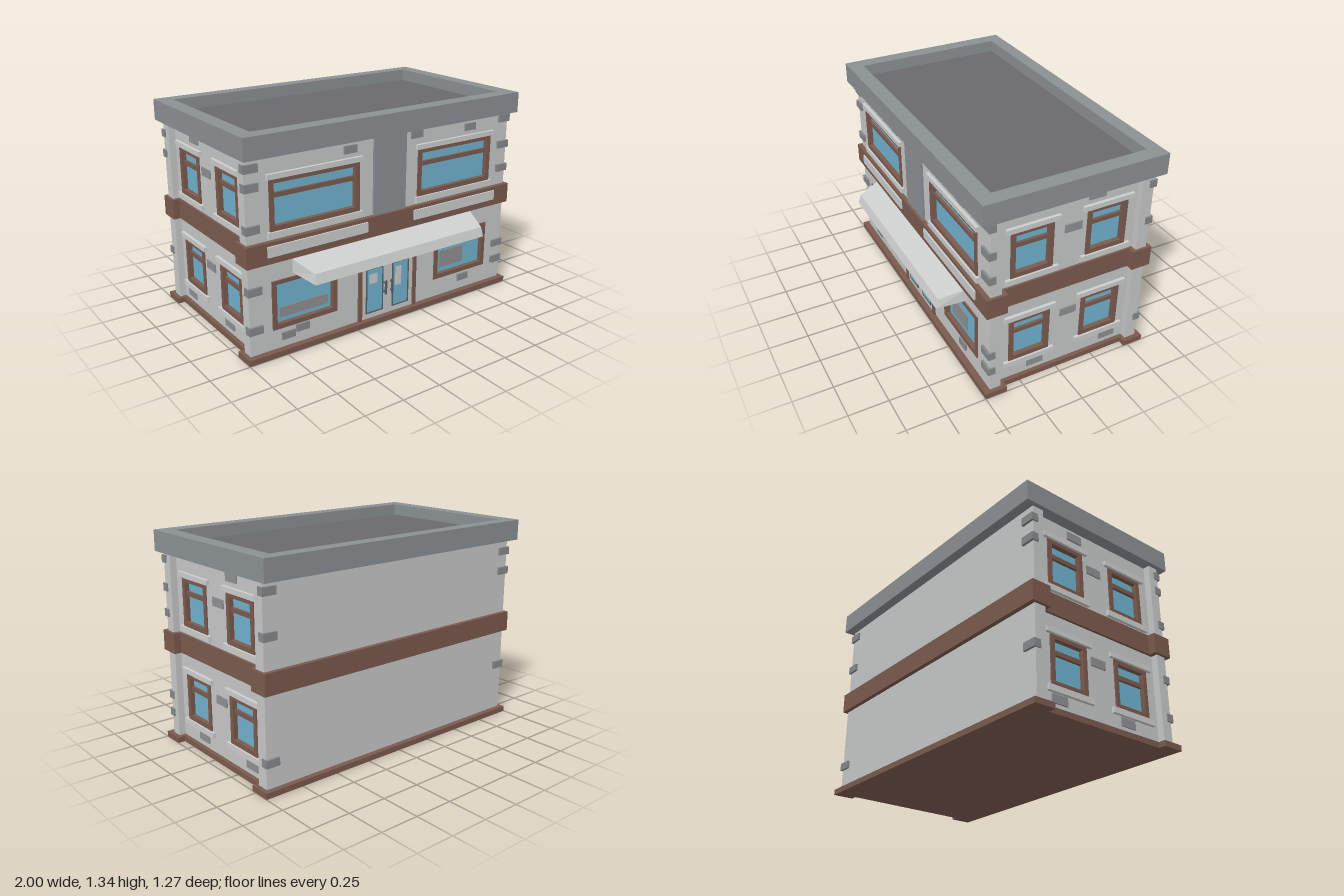
import * as THREE from 'three';

const mat = (name, color) => {
  const m = new THREE.MeshStandardMaterial({ color });
  m.name = name;
  return m;
};

export function createModel() {
  const wall = mat('plaster', 0xc6c8c7);
  const trim = mat('pale stone', 0xcccecd);
  const brown = mat('brown wood', 0x7b5a4e);
  const glass = mat('glass', 0x70b2ce);
  const slate = mat('parapet grey', 0x8b9093);
  const brick = mat('brick grey', 0x86898b);
  const paper = mat('poster grey', 0x8f9092);
  const roofMat = mat('roof grey', 0x6a696b);
  const metal = mat('dark metal', 0x5c5f62);

  const root = new THREE.Group();

  // Box given by its limits on each axis
  function box(name, m, x0, x1, y0, y1, z0, z1, parent = root) {
    const mesh = new THREE.Mesh(new THREE.BoxGeometry(x1 - x0, y1 - y0, z1 - z0), m);
    mesh.position.set((x0 + x1) / 2, (y0 + y1) / 2, (z0 + z1) / 2);
    mesh.name = name;
    parent.add(mesh);
    return mesh;
  }

  // Flat panel in the XY plane with rectangular holes, from z0 to z1
  const corners = ([x0, x1, y0, y1]) =>
    [[x0, y0], [x1, y0], [x1, y1], [x0, y1]].map(p => new THREE.Vector2(...p));
  function panel(name, m, outer, holes, z0, z1, parent = root) {
    const shape = new THREE.Shape(corners(outer));
    holes.forEach(h => shape.holes.push(new THREE.Path(corners(h).reverse())));
    const geo = new THREE.ExtrudeGeometry(shape, { depth: z1 - z0, bevelEnabled: false });
    const mesh = new THREE.Mesh(geo, m);
    mesh.position.z = z0;
    mesh.name = name;
    parent.add(mesh);
    return mesh;
  }

  // Horizontal course that steps inwards along both sides of the building
  function course(name, m, y0, y1, xOut, xIn, front, back) {
    const half = [[xOut, front], [xOut, 0.36], [xIn, 0.36], [xIn, -0.47], [xOut, -0.47], [xOut, back]];
    const pts = [...half, ...half.map(([x, z]) => [-x, z]).reverse()];
    const shape = new THREE.Shape(pts.map(([x, z]) => new THREE.Vector2(x, -z)));
    const geo = new THREE.ExtrudeGeometry(shape, { depth: y1 - y0, bevelEnabled: false });
    geo.rotateX(-Math.PI / 2);
    const mesh = new THREE.Mesh(geo, m);
    mesh.position.y = y0;
    mesh.name = name;
    root.add(mesh);
  }

  // Framed window, recessed glass, optional crossbar with lintel and sill
  function windowUnit(parent, [x0, x1, y0, y1], full) {
    const g = new THREE.Group();
    g.name = 'window';
    parent.add(g);
    const t = 0.03;
    panel('windowFrame', brown, [x0, x1, y0, y1],
      [[x0 + t, x1 - t, y0 + t, y1 - t * 0.8]], -0.035, 0.008, g);
    box('windowGlass', glass, x0 + 0.01, x1 - 0.01, y0 + 0.01, y1 - 0.01, -0.03, -0.022, g);
    if (full) {
      box('windowBar', brown, x0 + t, x1 - t, y1 - 0.11, y1 - 0.083, -0.025, -0.005, g);
      const e = full;
      box('lintel', trim, x0 - e, x1 + e, y1 + 0.003, y1 + 0.034, -0.01, 0.02, g);
      box('sill', trim, x0 - e, x1 + e, y0 - 0.036, y0, -0.01, 0.02, g);
    }
  }
  const inset = ([x0, x1, y0, y1]) => [x0 + 0.01, x1 - 0.01, y0 + 0.01, y1 - 0.01];

  // Body, back wall and corner piers
  box('innerWalls', wall, -0.89, 0.89, 0.02, 1.22, -0.5, 0.42);
  box('backWall', wall, -0.973, 0.973, 0.02, 1.22, -0.57, -0.495);

  // Front wall and its windows
  const upper = [[-0.825, -0.22, 0.765, 1.065], [0.22, 0.825, 0.765, 1.065]];
  const lower = [[-0.825, -0.38, 0.16, 0.465], [0.38, 0.825, 0.16, 0.465]];
  panel('frontWall', wall, [-0.973, 0.973, 0.02, 1.22], [...upper, ...lower].map(inset), 0.39, 0.46);
  const front = new THREE.Group();
  front.name = 'frontDetails';
  front.position.z = 0.46;
  root.add(front);
  upper.forEach(r => windowUnit(front, r, 0.017));
  lower.forEach(r => windowUnit(front, r, 0));
  box('poster', paper, -0.765, -0.43, 0.215, 0.28, -0.023, -0.018, front);
  box('poster', paper, 0.445, 0.65, 0.22, 0.335, -0.023, -0.018, front);
  box('centralPier', slate, -0.12, 0.12, 0.7, 1.21, -0.01, 0.015, front);
  for (const [x, y] of [[-0.285, 1.15], [0.205, 1.165], [0.64, 1.15], [-0.723, 0.107], [-0.625, 0.13], [0.637, 0.12]])
    box('brick', brick, x - 0.044, x + 0.044, y - 0.023, y + 0.023, -0.01, 0.012, front);

  // Side walls, windows and bricks
  for (const s of [1, -1]) {
    const side = new THREE.Group();
    side.name = s > 0 ? 'leftSide' : 'rightSide';
    side.rotation.y = s * Math.PI / 2;
    side.position.x = s * 0.93;
    root.add(side);
    const span = (z0, z1) => [-s * z0, -s * z1].sort((a, b) => a - b);
    const rects = [];
    for (const z of [0.185, -0.298])
      for (const y of [0.165, 0.768])
        rects.push([...span(z - 0.134, z + 0.134), y, y + 0.3]);
    panel('sideWall', wall, [...span(-0.5, 0.395), 0.02, 1.22], rects.map(inset), -0.045, 0, side);
    rects.forEach(r => windowUnit(side, r, 0.033));
    for (const [z, y] of [[-0.22, 1.157], [-0.075, 0.987], [-0.075, 0.396], [0.14, 0.096], [-0.375, 0.096]])
      box('brick', paper, ...span(z - 0.055, z + 0.055), y - 0.026, y + 0.026, -0.01, 0.008, side);
  }

  // Corner stones wrapping each pier
  const stones = [
    [1, 1, [1.165, 0.99, 0.83, 0.295, 0.178]],
    [-1, 1, [1.148, 1.04, 0.8, 0.435, 0.195]],
    [1, -1, [1.15, 0.905, 0.19]],
    [-1, -1, [1.13, 1.0, 0.35]],
  ];
  for (const [sx, sz, ys] of stones)
    for (const y of ys) {
      const z = sz > 0 ? 0.452 : -0.562;
      const x = sx * 0.936;
      box('cornerStone', brick, x - 0.045, x + 0.045, y - 0.024, y + 0.024, z - 0.023, z + 0.023);
    }

  // Plinth and belt course with sign boards
  course('plinth', brown, 0, 0.035, 1, 0.955, 0.5, -0.605);
  course('beltCourse', brown, 0.587, 0.715, 0.99, 0.945, 0.49, -0.598);
  box('signBoard', trim, -0.86, -0.18, 0.63, 0.693, 0.48, 0.5);
  box('signBoard', trim, 0.175, 0.855, 0.63, 0.693, 0.48, 0.5);

  // Parapet ring and sunken roof
  const parapet = panel('parapet', slate, [-1, 1, -0.52, 0.632], [[-0.905, 0.905, -0.425, 0.545]], 0, 0.13);
  parapet.rotation.x = -Math.PI / 2;
  parapet.position.y = 1.205;
  box('roof', roofMat, -0.92, 0.92, 1.206, 1.26, -0.56, 0.44);

  // Double door with glazed leaves, notices and handles
  panel('doorSurround', brown, [-0.225, 0.225, 0.03, 0.43], [[-0.2, 0.2, 0.031, 0.397]], -0.01, 0.014, front);
  box('doorLeaves', wall, -0.2, 0.2, 0.03, 0.398, -0.01, 0.004, front);
  for (const s of [-1, 1]) {
    const x = s * 0.101;
    panel('doorGlassRim', metal, [x - 0.066, x + 0.066, 0.07, 0.372],
      [[x - 0.058, x + 0.058, 0.078, 0.364]], 0, 0.009, front);
    box('doorGlass', glass, x - 0.06, x + 0.06, 0.075, 0.367, 0, 0.006, front);
    box('doorHandle', metal, s * 0.025 - 0.006, s * 0.025 + 0.006, 0.175, 0.268, 0.018, 0.028, front);
    for (const y of [0.19, 0.25])
      box('handleMount', metal, s * 0.025 - 0.004, s * 0.025 + 0.004, y - 0.005, y + 0.005, 0, 0.02, front);
  }
  box('notice', trim, -0.14, -0.082, 0.268, 0.33, 0.005, 0.008, front);
  box('notice', trim, 0.06, 0.107, 0.208, 0.335, 0.005, 0.008, front);

  // Awning: side profile (half width, y, z) lofted between its two ends
  const profile = [[0.685, 0.573, 0.455], [0.635, 0.52, 0.617], [0.64, 0.46, 0.635], [0.685, 0.488, 0.455]];
  const pos = [];
  const quad = (a, b, c, d) => pos.push(...a, ...b, ...c, ...a, ...c, ...d);
  const L = profile;
  const R = profile.map(([x, y, z]) => [-x, y, z]);
  for (let i = 0; i < 4; i++) {
    const j = (i + 1) % 4;
    quad(R[i], R[j], L[j], L[i]);
  }
  quad(L[0], L[1], L[2], L[3]);
  quad(R[3], R[2], R[1], R[0]);
  const awningGeo = new THREE.BufferGeometry();
  awningGeo.setAttribute('position', new THREE.Float32BufferAttribute(pos, 3));
  awningGeo.computeVertexNormals();
  const awning = new THREE.Mesh(awningGeo, trim);
  awning.name = 'awning';
  root.add(awning);

  return root;
}
